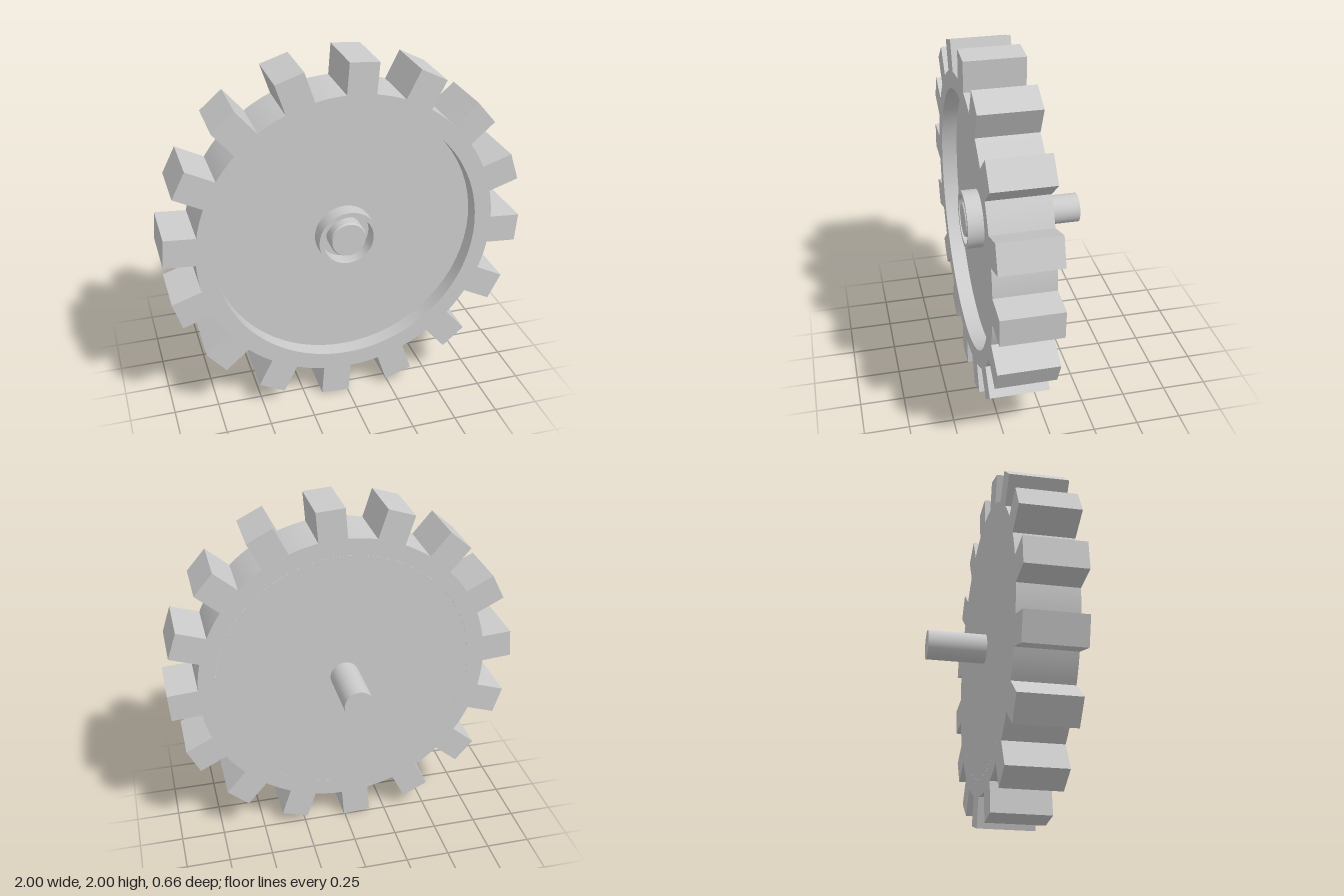
import * as THREE from 'three';
import { toCreasedNormals } from 'three/addons/utils/BufferGeometryUtils.js';

const TEETH = 16;
const ROOT = 0.83, TIP = 0.997, HALF_WIDTH = 0.08; // tooth dimensions
const RECESS = 0.733;                              // radius of the dished front
const DEPTH = 0.33, FLOOR = 0.24;                  // wheel thickness, dish floor height
const PHASE = THREE.MathUtils.degToRad(85.7);      // direction of the first tooth

// Gear outline: parallel-sided teeth joined by arcs at the root circle
function gearShape() {
  const pts = [];
  const pitch = (Math.PI * 2) / TEETH;
  const half = Math.asin(HALF_WIDTH / ROOT);
  const rootLength = ROOT * Math.cos(half);
  for (let i = 0; i < TEETH; i++) {
    const a = PHASE + i * pitch;
    const c = Math.cos(a), s = Math.sin(a);
    for (const [r, w] of [[rootLength, -1], [TIP, -1], [TIP, 1], [rootLength, 1]]) {
      const t = w * HALF_WIDTH;
      pts.push(new THREE.Vector2(r * c - t * s, r * s + t * c));
    }
    const steps = 6;
    for (let k = 1; k < steps; k++) {
      const b = a + half + ((pitch - 2 * half) * k) / steps;
      pts.push(new THREE.Vector2(ROOT * Math.cos(b), ROOT * Math.sin(b)));
    }
  }
  return new THREE.Shape(pts);
}

export function createModel() {
  const group = new THREE.Group();
  const wheel = new THREE.Group();
  wheel.name = 'gearWheel';
  wheel.position.y = 1;
  group.add(wheel);

  const material = new THREE.MeshStandardMaterial({ color: 0xcccccc });
  const add = (name, geometry) => {
    const mesh = new THREE.Mesh(geometry, material);
    mesh.name = name;
    wheel.add(mesh);
    return mesh;
  };

  // Toothed ring, open in the middle
  const shape = gearShape();
  shape.holes.push(new THREE.Path().absarc(0, 0, RECESS, 0, Math.PI * 2, true));
  const ring = new THREE.ExtrudeGeometry(shape, { depth: DEPTH, bevelEnabled: false, curveSegments: 64 });
  add('toothedRing', toCreasedNormals(ring, 0.4));

  // Dish floor, hub collar and chamfered centre pin in one profile
  const profile = [
    [RECESS, FLOOR], [0.165, FLOOR], [0.165, DEPTH], [0.14, DEPTH], [0.14, FLOOR],
    [0.1, FLOOR], [0.1, 0.318], [0.094, DEPTH], [0, DEPTH],
  ].map(([r, h]) => new THREE.Vector2(r, h));
  const dish = new THREE.LatheGeometry(profile, 64).rotateX(Math.PI / 2);
  add('dishAndHub', toCreasedNormals(dish, 0.4));

  // Flat back of the wheel
  add('backPlate', new THREE.CircleGeometry(RECESS, 64).rotateY(Math.PI));

  // Axle sticking out behind
  const axle = add('axle', new THREE.CylinderGeometry(0.083, 0.083, DEPTH, 32).rotateX(Math.PI / 2));
  axle.position.z = -DEPTH / 2;

  return group;
}
